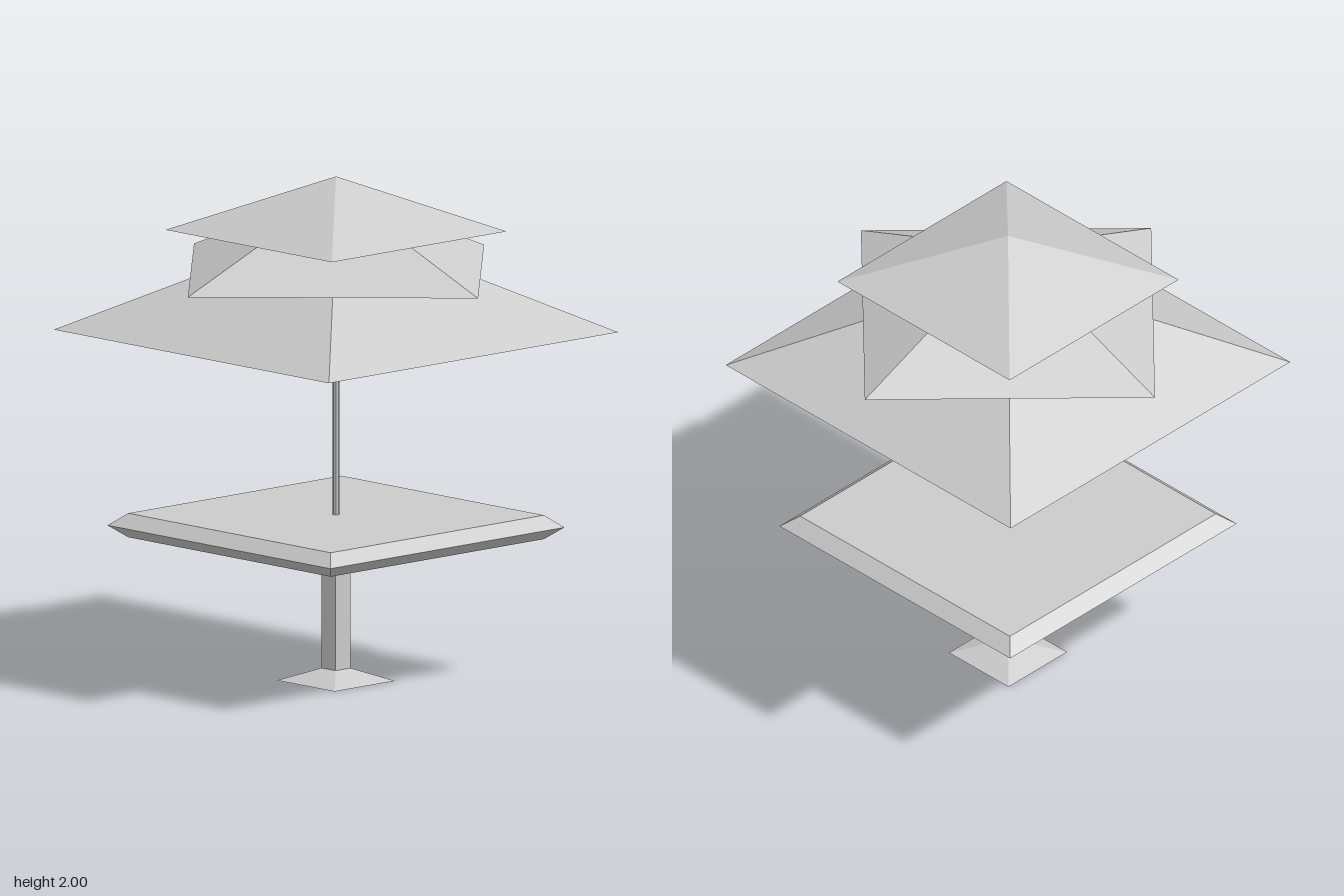
import * as THREE from 'three';

const material = new THREE.MeshStandardMaterial({
  color: 0xcccccc, flatShading: true, side: THREE.DoubleSide,
});

// Four-sided tapered section with half widths at top and bottom, sides facing the axes
function squareSection(name, topHalf, bottomHalf, y0, y1, open = true, turn = 0) {
  const geometry = new THREE.CylinderGeometry(
    topHalf * Math.SQRT2, bottomHalf * Math.SQRT2, y1 - y0, 4, 1, open);
  geometry.rotateY(Math.PI / 4 + turn);
  const mesh = new THREE.Mesh(geometry, material);
  mesh.name = name;
  mesh.position.y = (y0 + y1) / 2;
  return mesh;
}

export function createModel() {
  const model = new THREE.Group();
  model.name = 'parasolTable';

  // Pedestal: flared foot and square stem
  model.add(squareSection('foot', 0.04, 0.163, 0, 0.05));
  model.add(squareSection('stem', 0.04, 0.04, 0.05, 0.567));

  // Table top with a pointed, bevelled rim
  const table = new THREE.Group();
  table.name = 'tableTop';
  table.add(squareSection('upperBevel', 0.573, 0.63, 0.612, 0.66));
  table.add(squareSection('lowerBevel', 0.63, 0.573, 0.565, 0.612));
  for (const [name, y, tilt] of [['topFace', 0.66, -1], ['bottomFace', 0.565, 1]]) {
    const face = new THREE.Mesh(new THREE.PlaneGeometry(1.146, 1.146), material);
    face.name = name;
    face.rotation.x = tilt * Math.PI / 2;
    face.position.y = y;
    table.add(face);
  }
  model.add(table);

  // Slim pole
  const pole = new THREE.Mesh(new THREE.CylinderGeometry(0.014, 0.014, 1.15, 8), material);
  pole.name = 'pole';
  pole.position.y = 0.66 + 1.15 / 2;
  model.add(pole);

  // Three hollow pyramid shades, the middle one turned by an eighth
  model.add(squareSection('lowerShade', 0, 0.778, 1.387, 1.815));
  model.add(squareSection('middleShade', 0, 0.8 / Math.SQRT2, 1.625, 1.945, true, Math.PI / 4 + 0.004));
  model.add(squareSection('upperShade', 0, 0.47, 1.785, 2));

  return model;
}
